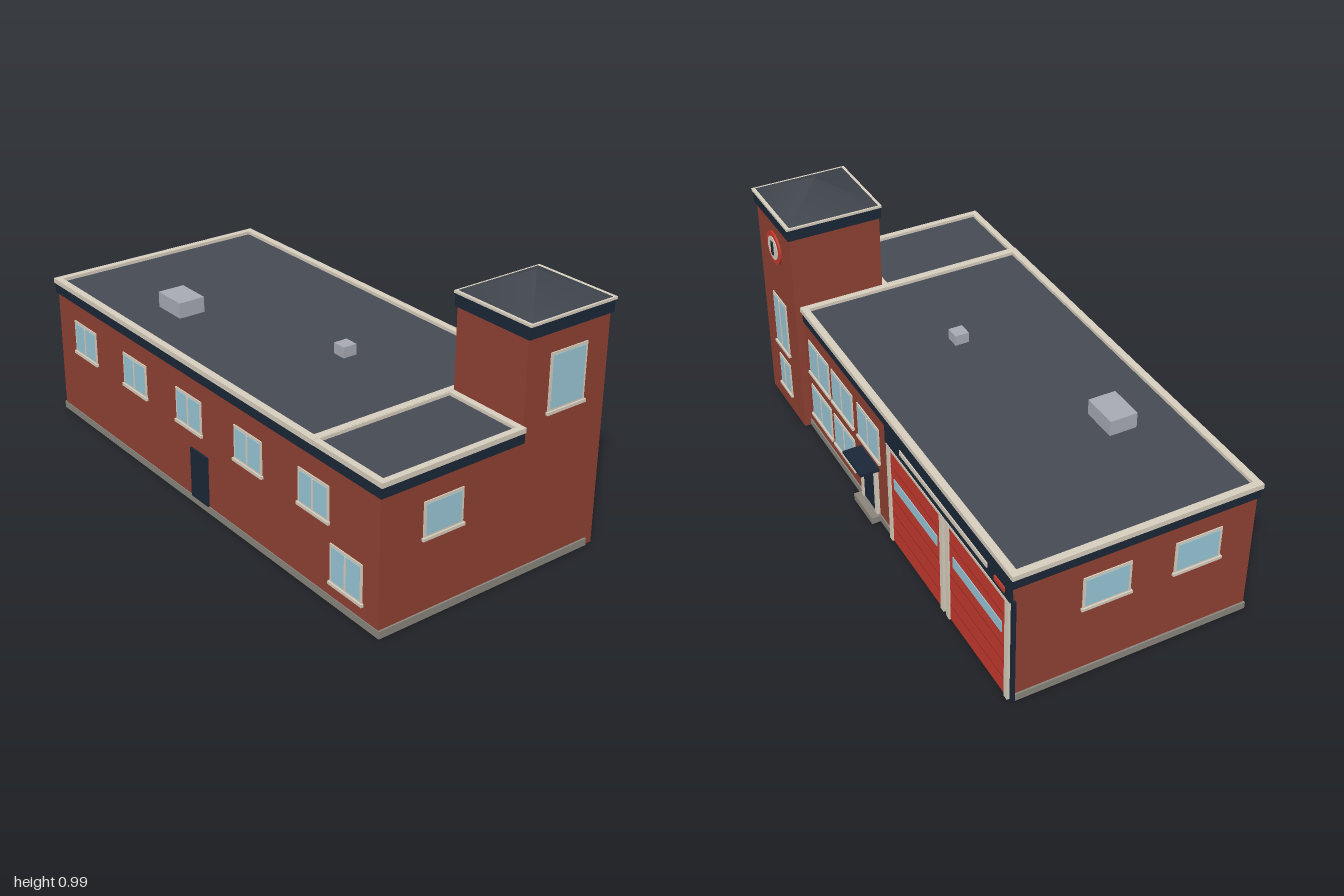
import * as THREE from 'three';

const mat = (name, color) => Object.assign(new THREE.MeshStandardMaterial({ color }), { name });
const brick = mat('brick red', 0x914133);
const cream = mat('cream trim', 0xd8cfbf);
const navy = mat('navy', 0x1b2838);
const glass = mat('window glass', 0x9bc9d9);
const concrete = mat('concrete', 0x8a867e);
const metal = mat('vent metal', 0xaaacb5);
const roofing = mat('roofing', 0x464b55);
const darkRoofing = mat('dark roofing', 0x40454d);
const doorRed = mat('door red', 0xc83b2f);
const seamRed = mat('dark red', 0x8a241c);

function mesh(parent, name, geometry, material) {
  const m = new THREE.Mesh(geometry, material);
  m.name = name;
  parent.add(m);
  return m;
}

// Box given by its limits on each axis
function block(parent, name, material, [x0, x1], [y0, y1], [z0, z1]) {
  const m = mesh(parent, name, new THREE.BoxGeometry(x1 - x0, y1 - y0, z1 - z0), material);
  m.position.set((x0 + x1) / 2, (y0 + y1) / 2, (z0 + z1) / 2);
  return m;
}

// Rectangular ring of coping
function coping(parent, name, [x0, x1], [y0, y1], [z0, z1], t) {
  const g = new THREE.Group();
  g.name = name;
  parent.add(g);
  block(g, 'copingSide', cream, [x0, x0 + t], [y0, y1], [z0, z1]);
  block(g, 'copingSide', cream, [x1 - t, x1], [y0, y1], [z0, z1]);
  block(g, 'copingEnd', cream, [x0 + t, x1 - t], [y0, y1], [z0, z0 + t]);
  block(g, 'copingEnd', cream, [x0 + t, x1 - t], [y0, y1], [z1 - t, z1]);
}

// Wall faces: local +z points out of the wall, u runs along the world axis
const faces = {
  front: (u, y) => [u, y, 0.485, 0],
  back: (u, y) => [u, y, -0.42, Math.PI],
  towerBack: (u, y) => [u, y, -0.45, Math.PI],
  left: (u, y) => [0.985, y, u, Math.PI / 2],
  right: (u, y) => [-0.985, y, u, -Math.PI / 2],
};

function onWall(parent, name, face, u, y) {
  const g = new THREE.Group();
  g.name = name;
  const [px, py, pz, turn] = faces[face](u, y);
  g.position.set(px, py, pz);
  g.rotation.y = turn;
  parent.add(g);
  return g;
}

// Window with frame, glass, optional mullion and sill; y is the bottom
function addWindow(parent, name, face, u, y, w, h, mullion = true) {
  const g = onWall(parent, name, face, u, y);
  const t = 0.01, a = w / 2;
  block(g, 'frame', cream, [-a, a], [0, h], [0, 0.004]);
  block(g, 'glass', glass, [-a + t, a - t], [t, h - t], [0.002, 0.006]);
  if (mullion) block(g, 'mullion', cream, [-0.004, 0.004], [t, h - t], [0.004, 0.008]);
  block(g, 'sill', cream, [-a - 0.005, a + 0.005], [-0.008, 0.003], [0, 0.01]);
}

// Sectional vehicle door with a glazed strip and trim posts
function addGarageDoor(parent, u) {
  const g = onWall(parent, 'garageDoor', 'back', u, 0);
  const a = 0.193;
  block(g, 'doorPanel', doorRed, [-a, a], [0.002, 0.425], [0.002, 0.007]);
  for (const y of [0.07, 0.14, 0.21, 0.35]) {
    block(g, 'panelSeam', seamRed, [-a, a], [y - 0.001, y + 0.001], [0.006, 0.008]);
  }
  block(g, 'glazedStrip', glass, [-0.168, 0.168], [0.264, 0.309], [0.006, 0.01]);
  for (const s of [-1, 1]) {
    const x = s * (a + 0.011);
    block(g, 'doorPost', cream, [x - 0.011, x + 0.011], [0.002, 0.437], [0.002, 0.013]);
  }
  block(g, 'doorHead', cream, [-a, a], [0.425, 0.437], [0.002, 0.013]);
}

export function createModel() {
  const root = new THREE.Group();
  root.name = 'fireStation';

  // Walls and plinth
  block(root, 'mainWalls', brick, [-0.985, 0.985], [0, 0.53], [-0.42, 0.485]);
  block(root, 'towerWalls', brick, [0.66, 0.985], [0, 0.86], [-0.45, -0.09]);
  block(root, 'plinth', concrete, [-0.992, 0.992], [0.0005, 0.028], [-0.418, 0.488]);
  block(root, 'backPlinth', concrete, [-0.087, 0.66], [0.0005, 0.028], [-0.425, -0.4]);

  // Fascia bands, flat roofs and copings
  block(root, 'mainFascia', navy, [-0.995, 0.65], [0.499, 0.538], [-0.427, 0.492]);
  block(root, 'annexFascia', navy, [0.65, 0.995], [0.499, 0.538], [-0.09, 0.492]);
  block(root, 'mainRoof', roofing, [-0.98, 0.645], [0.53, 0.544], [-0.41, 0.475]);
  block(root, 'annexRoof', roofing, [0.65, 0.98], [0.53, 0.544], [-0.085, 0.475]);
  coping(root, 'mainCoping', [-1, 0.662], [0.538, 0.557], [-0.431, 0.495], 0.027);
  coping(root, 'annexCoping', [0.642, 1], [0.538, 0.556], [-0.09, 0.494], 0.024);

  // Tower cap with a softly shaded hipped roof
  block(root, 'towerFascia', navy, [0.652, 0.994], [0.854, 0.899], [-0.458, -0.084]);
  block(root, 'towerCoping', cream, [0.649, 1], [0.899, 0.908], [-0.462, -0.082]);
  const pyramid = new THREE.ConeGeometry(Math.SQRT1_2, 1, 4, 1, true).rotateY(Math.PI / 4)
    .scale(0.338, 0.083, 0.358);
  mesh(root, 'towerRoof', pyramid, darkRoofing).position.set(0.824, 0.949, -0.271);

  // Roof vents
  block(root, 'largeVent', metal, [-0.54, -0.398], [0.54, 0.604], [0.195, 0.302]);
  block(root, 'smallVent', metal, [0.177, 0.232], [0.54, 0.585], [-0.02, 0.035]);

  // Front side
  for (let i = 0; i < 5; i++) addWindow(root, 'frontWindow', 'front', -0.783 + i * 0.36, 0.296, 0.16, 0.129);
  addWindow(root, 'lowerFrontWindow', 'front', 0.826, 0.083, 0.162, 0.143);
  block(root, 'frontDoor', navy, [-0.055, 0.05], [0.028, 0.222], [0.48, 0.492]);

  // End walls
  addWindow(root, 'leftWindow', 'left', 0.234, 0.296, 0.162, 0.129, false);
  for (const z of [-0.08, 0.265]) addWindow(root, 'rightWindow', 'right', z, 0.296, 0.18, 0.129, false);
  addWindow(root, 'towerSideWindow', 'left', -0.272, 0.573, 0.162, 0.208, false);

  // Office windows on the street side
  for (const x of [0.526, 0.311]) {
    addWindow(root, 'lowerOfficeWindow', 'back', x, 0.083, 0.19, 0.143);
    addWindow(root, 'upperOfficeWindow', 'back', x, 0.284, 0.19, 0.148);
  }
  addWindow(root, 'entranceWindow', 'back', 0.08, 0.284, 0.185, 0.148);
  addWindow(root, 'lowerTowerWindow', 'towerBack', 0.822, 0.083, 0.11, 0.143);
  addWindow(root, 'upperTowerWindow', 'towerBack', 0.822, 0.282, 0.13, 0.23);

  // Entrance with step, framed door and canopy
  block(root, 'entranceStep', concrete, [0, 0.16], [0.001, 0.028], [-0.46, -0.42]);
  block(root, 'entranceDoor', navy, [0.028, 0.13], [0.028, 0.22], [-0.428, -0.415]);
  for (const x of [0.02, 0.138]) {
    block(root, 'entrancePost', cream, [x - 0.008, x + 0.008], [0.028, 0.232], [-0.434, -0.415]);
  }
  block(root, 'entranceHead', cream, [0.028, 0.13], [0.22, 0.232], [-0.434, -0.415]);
  block(root, 'entranceCanopy', navy, [0, 0.157], [0.235, 0.246], [-0.495, -0.42]);

  // Garage surround, doors, sign band and alarm light
  block(root, 'garageSurround', navy, [-0.993, -0.087], [0.002, 0.44], [-0.423, -0.412]);
  for (const x of [-0.312, -0.762]) addGarageDoor(root, x);
  block(root, 'signBand', navy, [-0.985, -0.085], [0.437, 0.538], [-0.431, -0.415]);
  block(root, 'signStrip', cream, [-0.84, -0.21], [0.466, 0.486], [-0.435, -0.43]);
  block(root, 'alarmLight', doorRed, [-0.955, -0.89], [0.458, 0.478], [-0.436, -0.43]);

  // Round tower emblem: red ring, pale face and a bar
  const emblem = onWall(root, 'towerEmblem', 'towerBack', 0.825, 0.738);
  mesh(emblem, 'emblemDisc', new THREE.CylinderGeometry(0.067, 0.067, 0.007, 32).rotateX(Math.PI / 2), doorRed)
    .position.z = 0.0035;
  mesh(emblem, 'emblemFace', new THREE.CylinderGeometry(0.047, 0.047, 0.004, 32).rotateX(Math.PI / 2), cream)
    .position.z = 0.008;
  block(emblem, 'emblemBar', navy, [-0.01, 0.01], [-0.028, 0.028], [0.009, 0.013]);
  return root;
}
